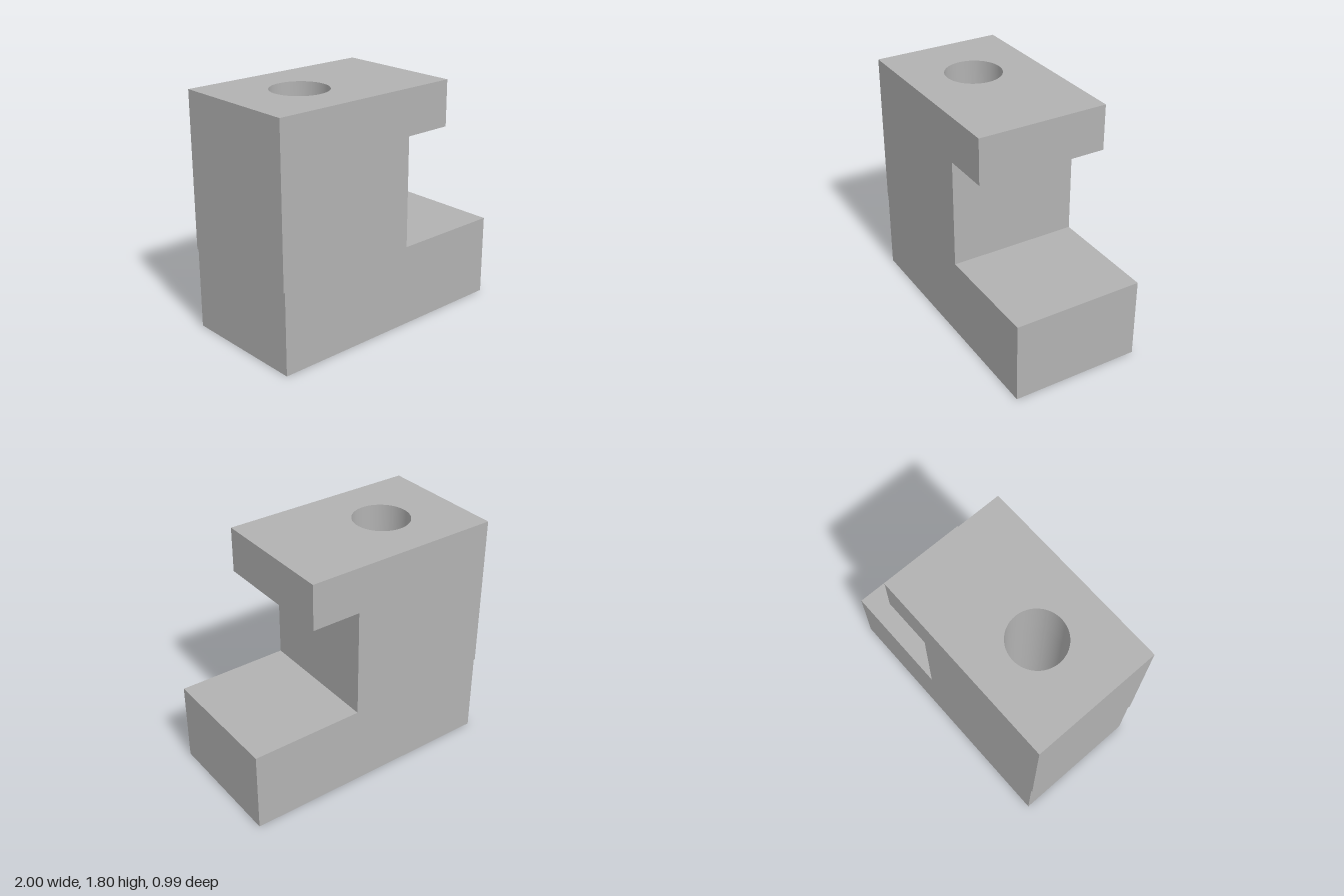
import * as THREE from 'three';
import { toCreasedNormals } from 'three/addons/utils/BufferGeometryUtils.js';

const HALF_DEPTH = 0.495;
const HOLE = { x: -0.43, radius: 0.213 };

// Horizontal slab from y0 to y1, pierced by the vertical bore
function slab(name, x0, x1, y0, y1, material) {
  const shape = new THREE.Shape();
  shape.moveTo(x0, -HALF_DEPTH);
  shape.lineTo(x1, -HALF_DEPTH);
  shape.lineTo(x1, HALF_DEPTH);
  shape.lineTo(x0, HALF_DEPTH);
  shape.closePath();
  const bore = new THREE.Path();
  bore.absarc(HOLE.x, 0, HOLE.radius, 0, Math.PI * 2, true);
  shape.holes.push(bore);

  const geometry = new THREE.ExtrudeGeometry(shape, {
    depth: y1 - y0, bevelEnabled: false, curveSegments: 64,
  });
  geometry.rotateX(-Math.PI / 2);
  geometry.translate(0, y0, 0);
  const mesh = new THREE.Mesh(toCreasedNormals(geometry, 0.5), material);
  mesh.name = name;
  return mesh;
}

export function createModel() {
  const group = new THREE.Group();
  group.name = 'clampBlock';
  const grey = new THREE.MeshStandardMaterial({ color: 0xb2b2b2 });
  grey.name = 'grey';

  group.add(
    slab('base', -0.99, 1, 0, 0.62, grey),
    slab('column', -1, 0.14, 0.62, 1.455, grey),
    slab('topJaw', -1, 0.515, 1.455, 1.8, grey),
  );
  return group;
}
